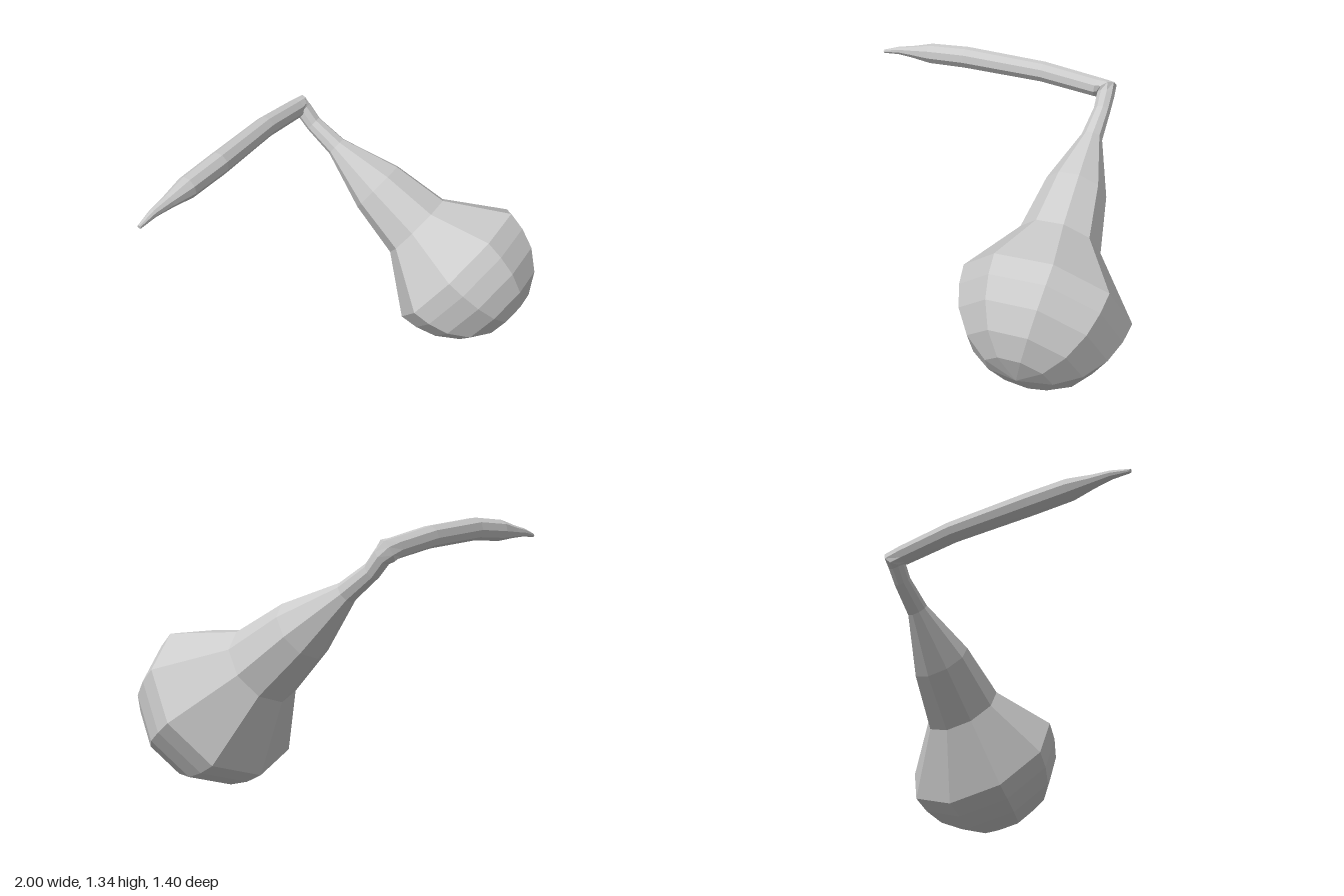
import * as THREE from 'three';

const SIDES = 9;
const V = (x, y, z) => new THREE.Vector3(x, y, z);

// Skin nine-sided rings { c: centre, r: radius, n: direction } into one faceted surface.
function loft(rings, phase) {
  const t = rings[0].n.clone();
  const u = V(0, 1, 0).addScaledVector(t, -t.y).normalize();
  const v = t.clone().cross(u);
  const q = new THREE.Quaternion();
  const positions = [], index = [];
  rings.forEach(({ c, r, n }, i) => {
    // carry the ring's frame along without twisting
    q.setFromUnitVectors(t, n);
    u.applyQuaternion(q);
    v.applyQuaternion(q);
    t.copy(n);
    for (let j = 0; j < SIDES; j++) {
      const a = phase + (j / SIDES) * Math.PI * 2;
      const p = c.clone().addScaledVector(u, r * Math.cos(a)).addScaledVector(v, r * Math.sin(a));
      positions.push(p.x, p.y, p.z);
      if (i === 0) continue;
      const k = (j + 1) % SIDES, lo = (i - 1) * SIDES, hi = i * SIDES;
      if (rings[i - 1].r > 0) index.push(lo + j, lo + k, hi + k);
      if (r > 0) index.push(lo + j, hi + k, hi + j);
    }
  });
  const g = new THREE.BufferGeometry();
  g.setAttribute('position', new THREE.Float32BufferAttribute(positions, 3));
  g.setIndex(index);
  const flat = g.toNonIndexed();
  flat.computeVertexNormals();
  return flat;
}

export function createModel() {
  const group = new THREE.Group();
  const axis = V(-0.14, 0.59, -0.79).normalize();
  const centre = V(0.58, 0.415, 0.265);
  const rings = [];

  // rounded end of the bulb: [radius, distance in front of the widest ring]
  for (const [r, d] of [[0, 0.43], [0.17, 0.397], [0.29, 0.32], [0.375, 0.21], [0.415, 0.1], [0.43, 0]])
    rings.push({ c: centre.clone().addScaledVector(axis, -d), r, n: axis });

  // shoulder and tapering neck: [x, y, z, radius]
  for (const [x, y, z, r] of [
    [0.51, 0.61, 0.037, 0.21],
    [0.455, 0.8, -0.195, 0.16],
    [0.397, 0.992, -0.437, 0.056],
    [0.372, 1.095, -0.575, 0.045],
    [0.36, 1.165, -0.63, 0.047],
  ]) rings.push({ c: V(x, y, z), r, n: axis });

  // sharp elbow, then the long stalk thinning to a point: [x, y, z, radius]
  const stalk = [
    [0.35, 1.188, -0.652, 0.06],
    [0.3, 1.197, -0.638, 0.052],
    [0, 1.24, -0.583, 0.055],
    [-0.44, 1.267, -0.488, 0.059],
    [-0.67, 1.255, -0.47, 0.056],
    [-0.8, 1.245, -0.463, 0.034],
    [-0.9, 1.238, -0.457, 0.022],
    [-1, 1.22, -0.445, 0.01],
  ];
  const pts = stalk.map(([x, y, z]) => V(x, y, z));
  pts.forEach((c, i) => {
    const last = pts.length - 1;
    const n = i === 0
      ? axis.clone().add(pts[2].clone().sub(pts[1]).normalize())
      : pts[Math.min(i + 1, last)].clone().sub(i === 1 ? c : pts[i - 1]);
    rings.push({ c, r: stalk[i][3], n: n.normalize() });
  });
  // closed tip
  const end = rings[rings.length - 1];
  rings.push({ c: end.c, r: 0, n: end.n });

  const material = new THREE.MeshStandardMaterial({ color: 0xcccccc, flatShading: true });
  const gourd = new THREE.Mesh(loft(rings, 0.3), material);
  gourd.name = 'gourdWithBentStalk';
  group.add(gourd);
  return group;
}
